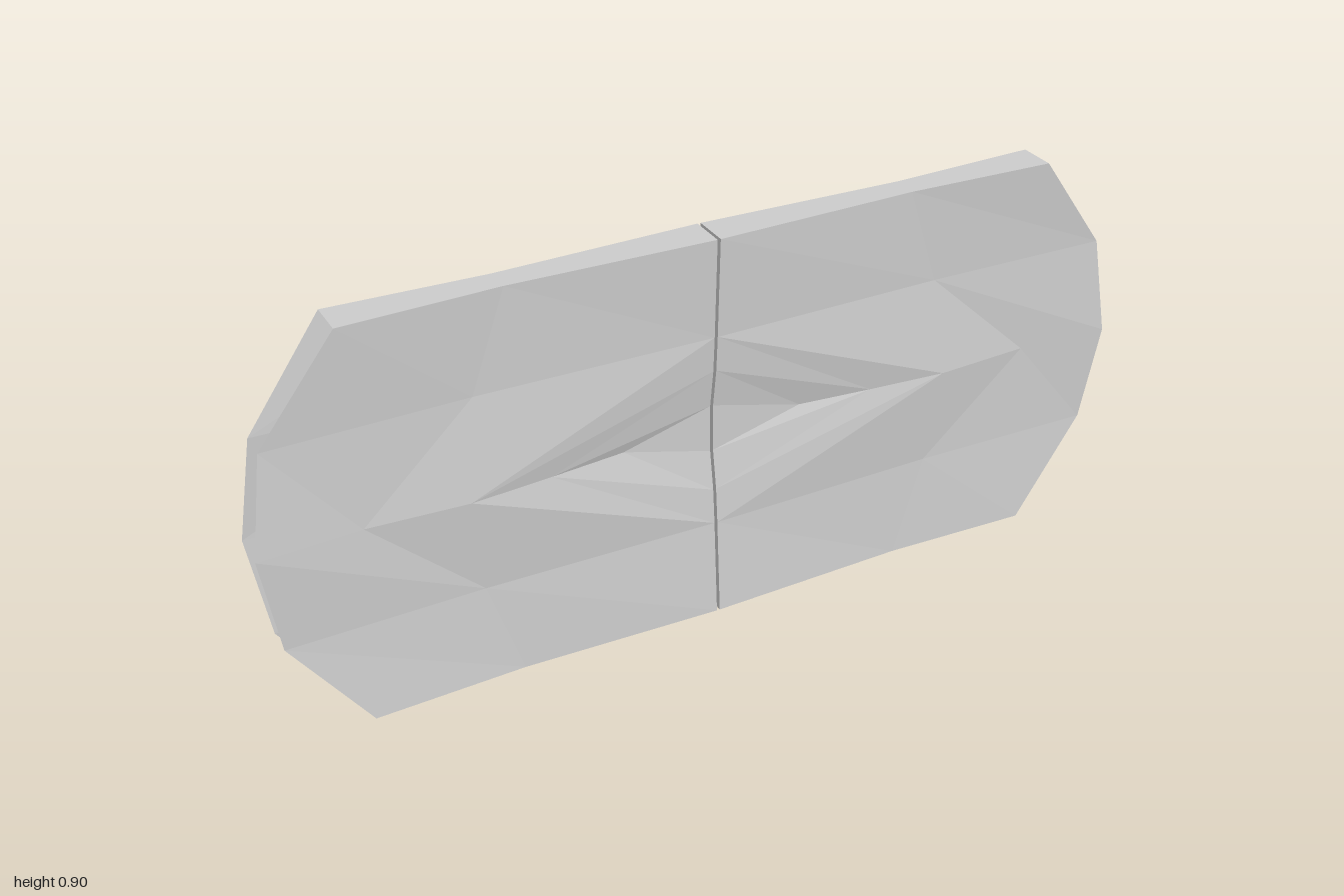
import * as THREE from 'three';

const HALF = 0.4525; // half the height

// One quarter of a leaf face: [distance from seam, height from middle, depth]
const P = {
  T0: [0, HALF, 0.043], T1: [0.46, HALF, 0.03], T2: [0.8, HALF, 0.043],
  M0: [0, 0.227, 0.031], M1: [0.535, 0.227, 0.023], M2: [0.965, 0.227, 0.031],
  C2: [1, 0, 0.043], C1: [0.78, 0, 0.03], D: [0.56, 0, 0.043],
  E0: [0, 0.145, 0.025], E1: [0.38, 0, 0.028],
  F0: [0, 0.055, 0.011], F1: [0.21, 0, 0.011], O: [0, 0, 0.011],
};

// Faces, counter-clockwise seen from +z in the upper +x quarter
const OUTER = ['T0 M0 M1 T1', 'T1 M1 M2 T2', 'M1 C1 C2 M2', 'M1 M0 D', 'M1 D C1'];
const RECESS = ['M0 E0 E1 D', 'E0 F0 F1 E1', 'F0 O F1'];

function facetMesh(name, polygons, material) {
  const pos = [];
  for (const poly of polygons)
    for (let i = 1; i < poly.length - 1; i++) pos.push(...poly[0], ...poly[i], ...poly[i + 1]);
  const geo = new THREE.BufferGeometry();
  geo.setAttribute('position', new THREE.Float32BufferAttribute(pos, 3));
  geo.computeVertexNormals();
  const mesh = new THREE.Mesh(geo, material);
  mesh.name = name;
  return mesh;
}

export function createModel() {
  const material = new THREE.MeshStandardMaterial({
    color: 0xcccccc, flatShading: true, side: THREE.DoubleSide,
  });
  const model = new THREE.Group();
  model.name = 'doubleDoor';

  for (const sx of [1, -1]) {
    const leaf = new THREE.Group();
    leaf.name = sx > 0 ? 'leftLeaf' : 'rightLeaf';
    const seamX = sx > 0 ? 0 : -0.007; // narrow gap between the leaves

    const place = (key, sy, sz) => {
      const [x, y, z] = P[key];
      return [x === 0 ? seamX : sx * x, HALF + sy * y, sz * z];
    };
    // Mirrors a list of faces, keeping them facing outward
    const mirror = (faces, sy, sz) => faces.map((face) => {
      const poly = face.split(' ').map((k) => place(k, sy, sz));
      return sx * sy * sz < 0 ? poly.reverse() : poly;
    });
    // Wall joining the front face to the back face along a line of points
    const wall = (keys, sy, flip) => keys.slice(1).map((k, i) => {
      const a = keys[i];
      const poly = [place(a, sy, 1), place(k, sy, 1), place(k, sy, -1), place(a, sy, -1)];
      return flip ? poly.reverse() : poly;
    });

    // Front and back faces with their stepped diamond recess
    for (const sz of [1, -1]) {
      const side = sz > 0 ? 'front' : 'back';
      const both = (faces) => [...mirror(faces, 1, sz), ...mirror(faces, -1, sz)];
      leaf.add(facetMesh(side + 'Panel', both(OUTER), material));
      leaf.add(facetMesh(side + 'Recess', both(RECESS), material));
    }

    // Top and bottom edges; the outer side stays open
    for (const sy of [1, -1])
      leaf.add(facetMesh(sy > 0 ? 'topEdge' : 'bottomEdge',
        wall(['T0', 'T1', 'T2'], sy, sx * sy < 0), material));

    // Edge along the centre seam
    const seam = ['T0', 'M0', 'E0', 'F0', 'O'];
    leaf.add(facetMesh('seamEdge',
      [...wall(seam, 1, sx < 0), ...wall(seam, -1, sx > 0)], material));

    model.add(leaf);
  }
  return model;
}
